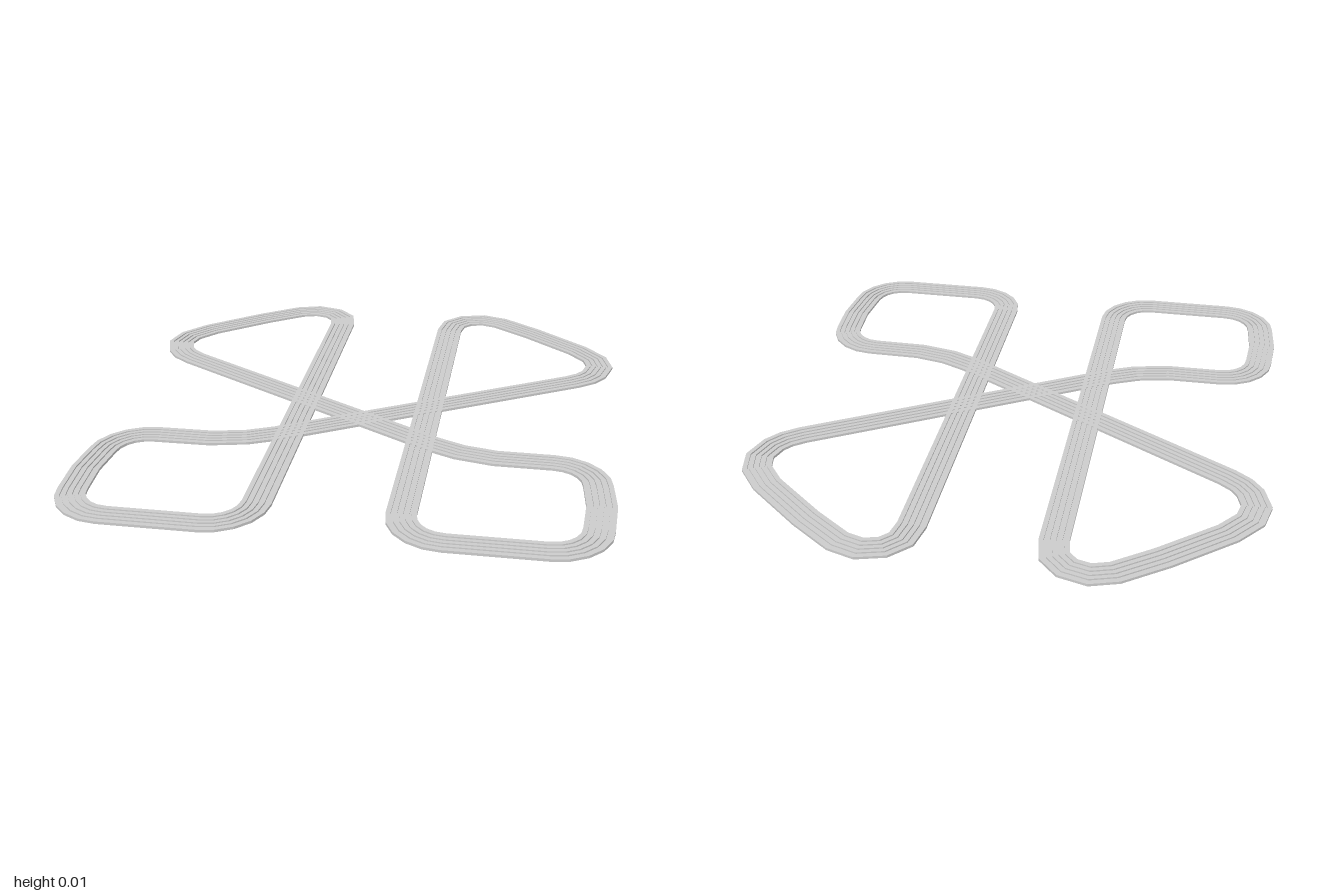
import * as THREE from 'three';

const WIDTH = 0.1, HEIGHT = 0.009, SLOTS = 4, SLOT_W = 0.007, SLOT_D = 0.005;

// Points on a quarter-turn corner; angles in degrees in the x-z plane
function corner(cx, cz, r, from, to, steps = 5) {
  return Array.from({ length: steps + 1 }, (_, i) => {
    const a = THREE.MathUtils.degToRad(from + (to - from) * i / steps);
    return [cx + r * Math.cos(a), cz + r * Math.sin(a)];
  });
}

// Centreline of the left half: back loop, long straight, front loop, diagonal
function halfPath() {
  return [
    [0.765, -0.335], [0.815, -0.374], [0.847, -0.418], [0.87, -0.497], [0.852, -0.574],
    [0.783, -0.66], [0.587, -0.825], [0.447, -0.926], [0.37, -0.95],
    [0.296, -0.93], [0.249, -0.88], [0.235, -0.8],
    ...corner(0.385, 0.795, 0.15, 180, 90),
    ...corner(0.705, 0.795, 0.15, 90, 0),
    [0.865, 0.65],
    ...corner(0.705, 0.515, 0.15, 0, -90),
    [0.505, 0.363], [0.38, 0.336], [0.28, 0.29],
  ];
}

// Closed cross-section of the road: flat top with guide slots
function roadProfile() {
  const h = WIDTH / 2, pts = [[-h, 0], [-h, HEIGHT]];
  for (let i = 0; i < SLOTS; i++) {
    const c = -h + WIDTH * (i + 1) / (SLOTS + 1), s = SLOT_W / 2;
    pts.push([c - s, HEIGHT], [c - s, HEIGHT - SLOT_D], [c + s, HEIGHT - SLOT_D], [c + s, HEIGHT]);
  }
  pts.push([h, HEIGHT], [h, 0]);
  return pts;
}

// Sweep the profile round a closed flat path with mitred joints
function sweep(path, profile) {
  const n = path.length, m = profile.length;
  const P = path.map(([x, z]) => new THREE.Vector2(x, z));
  const rings = P.map((p, i) => {
    const a = p.clone().sub(P[(i + n - 1) % n]).normalize();
    const b = P[(i + 1) % n].clone().sub(p).normalize();
    const t = a.clone().add(b).normalize();
    const mitre = 1 / t.dot(b);
    return profile.map(([u, y]) => [p.x - t.y * u * mitre, y, p.y + t.x * u * mitre]);
  });
  const pos = [];
  for (let i = 0; i < n; i++) {
    const r = rings[i], q = rings[(i + 1) % n];
    for (let j = 0; j < m; j++) {
      const k = (j + 1) % m;
      pos.push(...r[j], ...r[k], ...q[k], ...r[j], ...q[k], ...q[j]);
    }
  }
  const geo = new THREE.BufferGeometry();
  geo.setAttribute('position', new THREE.Float32BufferAttribute(pos, 3));
  geo.computeVertexNormals();
  return geo;
}

export function createModel() {
  const group = new THREE.Group();
  group.name = 'raceTrack';
  // The mirrored half follows the first; the two diagonals join them
  const half = halfPath();
  const path = [...half, ...half.map(([x, z]) => [-x, z])];
  const road = new THREE.Mesh(
    sweep(path, roadProfile()),
    new THREE.MeshStandardMaterial({ color: 0xcccccc }),
  );
  road.name = 'slottedRoad';
  group.add(road);
  return group;
}
